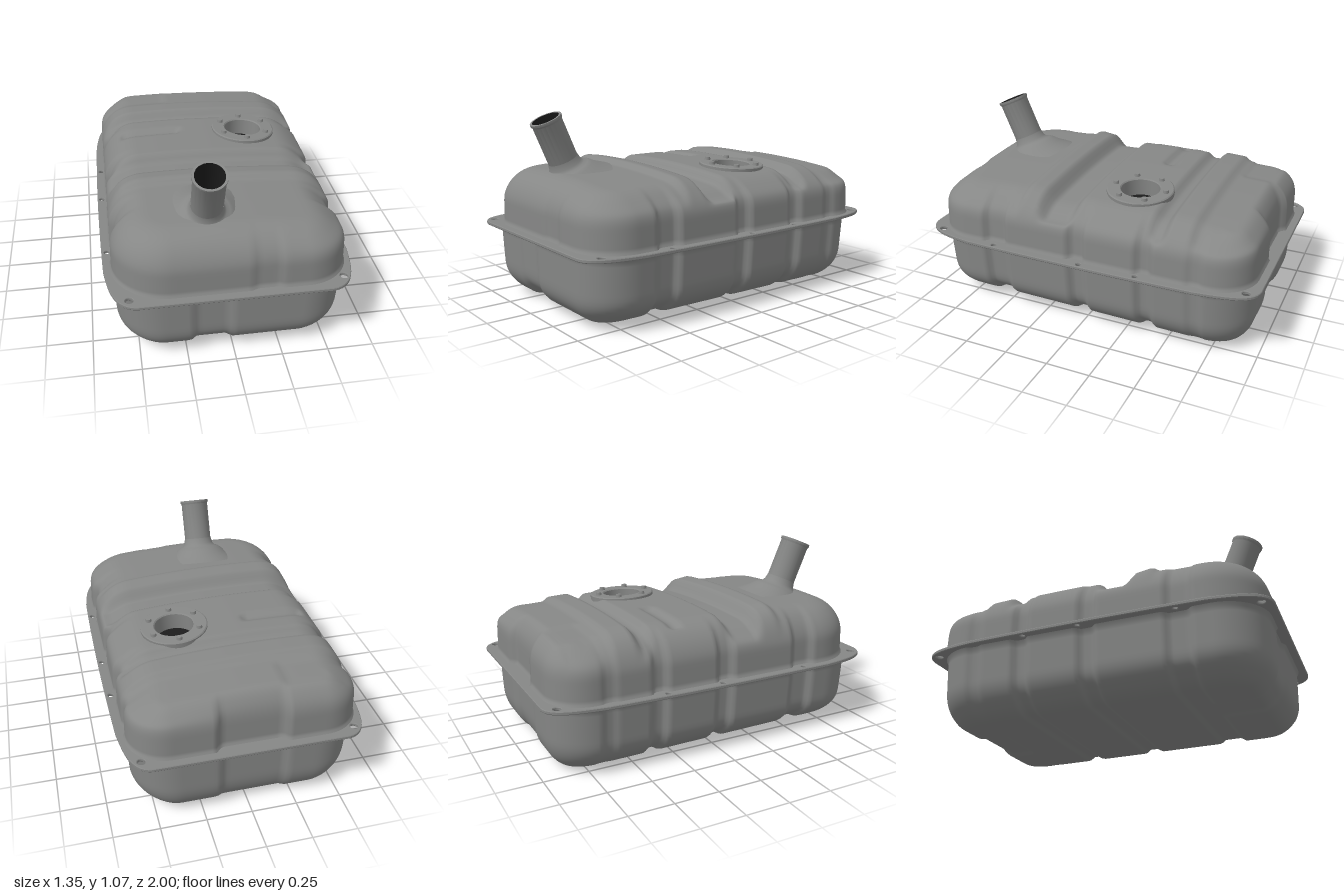
import * as THREE from 'three';
import { mergeVertices, toCreasedNormals } from 'three/addons/utils/BufferGeometryUtils.js';

const metal = new THREE.MeshStandardMaterial({ color: 0x868786, side: THREE.DoubleSide });
metal.name = 'grey metal';
const dark = new THREE.MeshStandardMaterial({ color: 0x1c1c1c, side: THREE.DoubleSide });
dark.name = 'dark interior';

const SEAM = 0.41;
const SENDER = { x: 0.245, z: -0.215 };
const { clamp, smoothstep, lerp } = THREE.MathUtils;

// 1 between a and b with soft edges, 0 outside
const band = (v, a, b, s = 0.018) => smoothstep(v, a - s, a + s) * (1 - smoothstep(v, b - s, b + s));

// Height of the pressed steps along the top, as [z, y]
const TOP = [[-0.95, 0.69], [-0.65, 0.705], [-0.61, 0.73], [-0.5, 0.735], [-0.46, 0.69], [-0.42, 0.69],
  [-0.38, 0.725], [0.04, 0.725], [0.08, 0.675], [0.22, 0.672], [0.27, 0.742], [0.36, 0.755],
  [0.4, 0.727], [0.6, 0.722], [0.95, 0.712]];
function topHeight(z) {
  for (let i = 1; i < TOP.length; i++) {
    const [z0, y0] = TOP[i - 1], [z1, y1] = TOP[i];
    if (z <= z1) return lerp(y0, y1, clamp((z - z0) / (z1 - z0), 0, 1));
  }
  return TOP[TOP.length - 1][1];
}

// Vertical channels in the long sides
const sideChannels = z => 0.028 * (band(z, 0.46, 0.59) + band(z, -0.03, 0.06) + band(z, -0.42, -0.34))
  + 0.012 * band(z, -0.7, -0.63);

function upperRelief(p, n) {
  const crown = 0.02 - 0.08 * (p.x + 0.2) ** 2;
  const slot = 0.02 * band(p.z, -0.265, -0.205) * band(p.x, -0.5, -0.15);
  const backPanel = 0.01 * band(p.z, -0.86, -0.68) * (1 - smoothstep(p.x, -0.22, -0.18));
  const up = smoothstep(n.y, 0.2, 0.9);
  p.y += up * (topHeight(p.z) - 0.72 + crown - slot - backPanel);
  p.x -= n.x * sideChannels(p.z);
  const end = n.z > 0 ? 0.014 * band(p.x, 0.1, 0.24) : 0.035 * band(p.x, -0.19, 0.17);
  p.z -= n.z * end;
}

function lowerRelief(p, n) {
  const down = smoothstep(-n.y, 0.1, 0.9);
  const frontChannel = band(p.x, -0.21, -0.02);
  const grooves = 0.018 * Math.max(band(p.z, 0.46, 0.59), band(p.z, -0.03, 0.06), band(p.z, -0.42, -0.34),
    frontChannel * smoothstep(p.z, 0.45, 0.55));
  const pad = 0.018 * band(p.x, -0.2, 0.15) * band(p.z, -0.88, -0.68);
  p.y += down * (0.01 + 0.012 * p.z + grooves + pad);
  p.x -= n.x * sideChannels(p.z);
  const end = n.z > 0 ? 0.018 * frontChannel : 0.02 * band(p.x, -0.2, 0.15);
  p.z -= n.z * end;
}

// Moves a point of the unit square's corner onto the unit circle's quadrant
const roundOff = (a, b) => Math.max(a, b) / (Math.hypot(a, b) || 1);

// Half of the tank: an open box from the seam with rounded plan corners
// and rounded edges, pressed by a relief rule
function shell({ dir, height, rx, ry, rzFront, rzBack, corner, taper, relief, cut }) {
  const hx = 0.622, hz = 0.95;
  const box = new THREE.BoxGeometry(2, 1, 2, 60, 16, 124).translate(0, 0.5, 0);
  const open = box.groups[3];
  const kept = [...box.index.array].filter((_, i) => i < open.start || i >= open.start + open.count);
  box.setIndex(kept);
  box.clearGroups();
  box.deleteAttribute('uv');
  box.deleteAttribute('normal');
  const geo = mergeVertices(box);
  const pos = geo.attributes.position;
  const p = new THREE.Vector3(), n = new THREE.Vector3();
  for (let i = 0; i < pos.count; i++) {
    p.fromBufferAttribute(pos, i);
    const t = p.y, sx = Math.sign(p.x), sz = Math.sign(p.z);
    let x = Math.abs(p.x) * hx, y = t * height, z = Math.abs(p.z) * hz;

    // Plan corner, with the outward direction (mx, mz) and depth inside the wall
    const R = corner(sx, sz);
    const vx = x - hx + R, vz = z - hz + R;
    let mx, mz, depth;
    if (vx > 0 && vz > 0) {
      const k = roundOff(vx, vz), len = Math.max(vx, vz);
      x = hx - R + vx * k;
      z = hz - R + vz * k;
      mx = vx * k / len;
      mz = vz * k / len;
      depth = R - len;
    } else {
      mx = hx - x < hz - z ? 1 : 0;
      mz = 1 - mx;
      depth = Math.min(hx - x, hz - z);
    }

    // Rounded edge between the wall and the flat face
    const r = lerp(rx, sz > 0 ? rzFront : rzBack, mz * mz);
    const e = clamp(1 - depth / r, 0, 1), f = clamp((y - height + ry) / ry, 0, 1);
    const k = roundOff(e, f);
    x += mx * r * e * (k - 1) * (f > 0 ? 1 : 0);
    z += mz * r * e * (k - 1) * (f > 0 ? 1 : 0);
    y += ry * f * (k - 1);
    n.set(sx * mx * e * k, dir * f * k, sz * mz * e * k).normalize();
    p.set(sx * x * (1 - taper * t), SEAM + dir * y, sz * z * (1 - taper * 0.3 * t));
    relief(p, n);

    // Small flare where the wall meets the flange
    if (t < 0.01) { p.x += n.x * 0.016; p.z += n.z * 0.016; }
    pos.setXYZ(i, p.x, p.y, p.z);
  }
  const src = geo.index.array, out = [];
  for (let i = 0; i < src.length; i += 3) {
    const [a, b, d] = [src[i], src[i + 1], src[i + 2]];
    const x = (pos.getX(a) + pos.getX(b) + pos.getX(d)) / 3;
    const z = (pos.getZ(a) + pos.getZ(b) + pos.getZ(d)) / 3;
    if (cut && Math.hypot(x - SENDER.x, z - SENDER.z) < 0.13) continue;
    out.push(...(dir > 0 ? [a, b, d] : [a, d, b]));
  }
  geo.setIndex(out);
  geo.computeVertexNormals();
  return geo;
}

// Seam flange with bolt holes; shape y becomes -z
function flangeGeometry() {
  const s = new THREE.Shape();
  s.moveTo(-0.5, -1);
  s.lineTo(0.5, -1);
  s.bezierCurveTo(0.62, -0.99, 0.645, -0.85, 0.665, -0.68);
  s.quadraticCurveTo(0.685, 0, 0.665, 0.68);
  s.bezierCurveTo(0.645, 0.85, 0.63, 0.99, 0.52, 1);
  s.lineTo(-0.52, 1);
  s.bezierCurveTo(-0.63, 0.99, -0.645, 0.85, -0.665, 0.68);
  s.quadraticCurveTo(-0.685, 0, -0.665, -0.68);
  s.bezierCurveTo(-0.645, -0.85, -0.62, -0.99, -0.5, -1);
  const inner = new THREE.Path();
  const x = 0.575, z = 0.9, r = 0.28;
  inner.moveTo(-x + r, -z);
  for (const [cx, cz, ex, ez] of [[x, -z, x, r - z], [x, z, x - r, z], [-x, z, -x, z - r], [-x, -z, r - x, -z]]) {
    const horizontal = ez === cz;
    inner.lineTo(horizontal ? cx : cx - Math.sign(cx) * r, horizontal ? cz - Math.sign(cz) * r : cz);
    inner.quadraticCurveTo(cx, cz, ex, ez);
  }
  s.holes.push(inner);
  const bolts = [[-0.57, -0.93], [0.57, -0.93], [-0.643, -0.35], [0.643, -0.35], [-0.648, -0.02],
    [0.648, -0.02], [-0.638, 0.52], [0.642, 0.52], [-0.542, 0.94], [0.58, 0.905]];
  for (const [bx, bz] of bolts) {
    const radius = Math.abs(bz) > 0.8 ? 0.022 : 0.015;
    s.holes.push(new THREE.Path().absarc(bx, -bz, radius, 0, Math.PI * 2, true));
  }
  return new THREE.ExtrudeGeometry(s, { depth: 0.012, bevelEnabled: true, bevelThickness: 0.004,
    bevelSize: 0.003, bevelOffset: -0.003, bevelSegments: 1, curveSegments: 14 })
    .rotateX(-Math.PI / 2).translate(0, SEAM - 0.006, 0);
}

const lathe = (pts, sides) => toCreasedNormals(
  new THREE.LatheGeometry(pts.map(([r, y]) => new THREE.Vector2(r, y)), sides), 0.6);

export function createModel() {
  const tank = new THREE.Group();
  tank.name = 'fuelTank';
  const add = (parent, name, geo, mat = metal) => {
    const m = new THREE.Mesh(geo, mat);
    m.name = name;
    parent.add(m);
    return m;
  };

  add(tank, 'upperShell', shell({ dir: 1, height: 0.72 - SEAM, rx: 0.2, ry: 0.17, rzFront: 0.2, rzBack: 0.12,
    corner: (sx, sz) => (sz > 0 ? (sx > 0 ? 0.24 : 0.3) : 0.21), taper: 0.012, relief: upperRelief, cut: true }));
  add(tank, 'lowerShell', shell({ dir: -1, height: SEAM, rx: 0.21, ry: 0.19, rzFront: 0.14, rzBack: 0.14,
    corner: () => 0.25, taper: 0.045, relief: lowerRelief }));
  add(tank, 'seamFlange', flangeGeometry());

  // Sender opening: ring, dark floor and six bolts
  const sender = new THREE.Group();
  sender.name = 'senderOpening';
  sender.position.set(SENDER.x, 0.731, SENDER.z);
  sender.rotation.set(-0.02, 0, -0.06);
  tank.add(sender);
  add(sender, 'senderRing', lathe([[0.19, -0.03], [0.19, 0.009], [0.184, 0.014], [0.116, 0.014],
    [0.11, 0.008], [0.11, -0.09]], 40));
  add(sender, 'senderFloor', new THREE.CircleGeometry(0.112, 32).rotateX(-Math.PI / 2).translate(0, -0.088, 0), dark);
  for (let i = 0; i < 6; i++) {
    const a = Math.PI / 2 + i * Math.PI / 3;
    add(sender, 'senderBolt', new THREE.CylinderGeometry(0.015, 0.018, 0.018, 10))
      .position.set(0.15 * Math.cos(a), 0.021, 0.15 * Math.sin(a));
  }

  // Filler neck leaning forward, on a collar that runs into the top
  const neck = new THREE.Group();
  neck.name = 'fillerNeck';
  neck.position.set(-0.115, 0.75, 0.69);
  neck.rotation.x = 0.41;
  tank.add(neck);
  add(neck, 'neckCollar', lathe([[0.24, -0.09], [0.17, -0.038], [0.145, -0.012], [0.125, 0.002],
    [0.105, 0.01], [0.093, 0.026], [0.086, 0.06]], 32));
  add(neck, 'neckPipe', lathe([[0.085, -0.03], [0.085, 0.285], [0.091, 0.295], [0.091, 0.308],
    [0.078, 0.308]], 20));
  add(neck, 'neckBore', lathe([[0.078, 0.308], [0.077, 0.06], [0, 0.06]], 20), dark);

  return tank;
}
